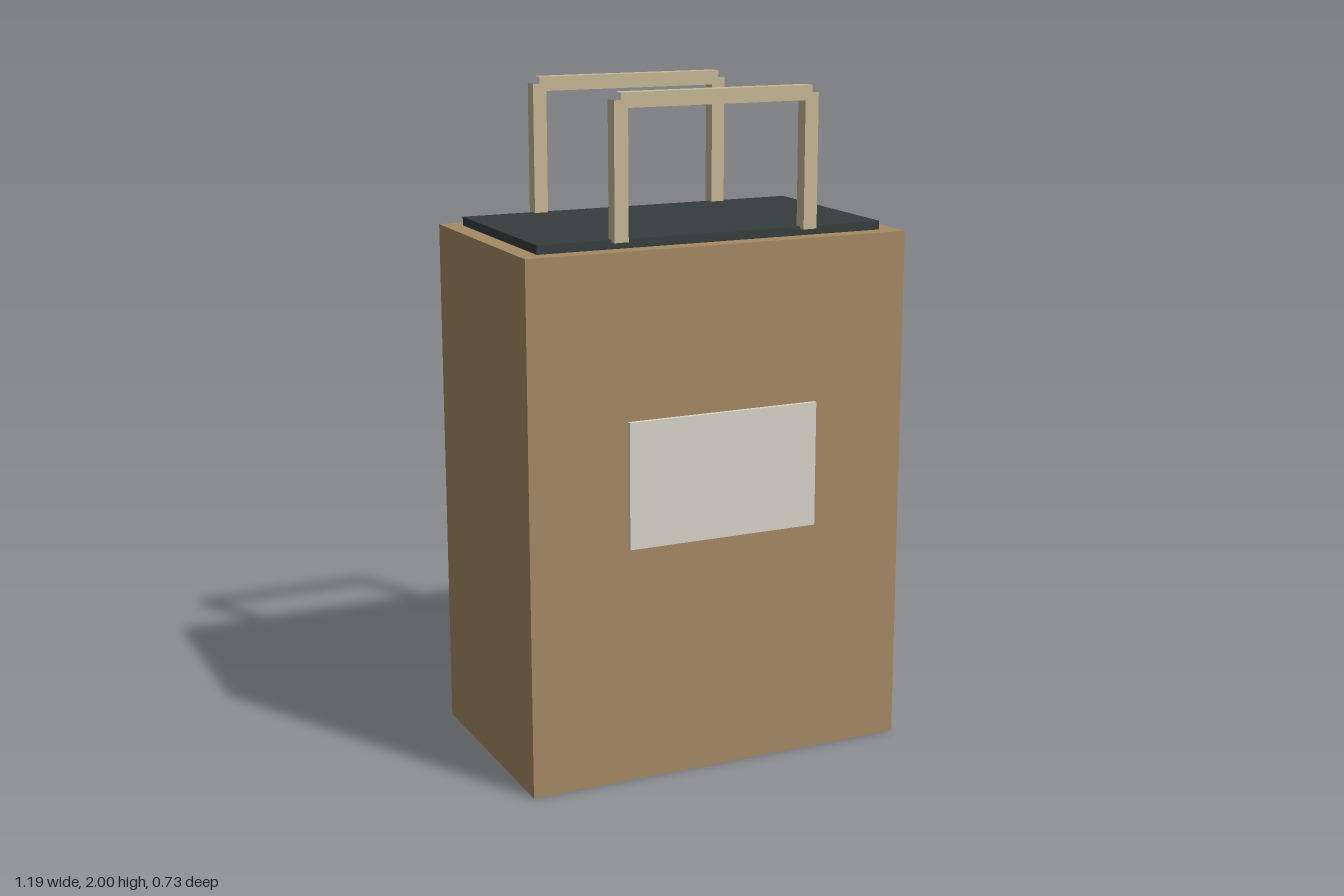
import * as THREE from 'three';

const paper = new THREE.MeshStandardMaterial({ color: 0xa68a64 });
const dark = new THREE.MeshStandardMaterial({ color: 0x363d3d });
const cord = new THREE.MeshStandardMaterial({ color: 0xc8b896, flatShading: true });
const card = new THREE.MeshStandardMaterial({ color: 0xd8d5cc });

function box(name, material, size, position) {
  const mesh = new THREE.Mesh(new THREE.BoxGeometry(...size), material);
  mesh.name = name;
  mesh.position.set(...position);
  return mesh;
}

// Square, open-ended bar standing along y
function bar(name, length) {
  const geometry = new THREE.CylinderGeometry(0.03, 0.03, length, 4, 1, true);
  geometry.rotateY(Math.PI / 4);
  const mesh = new THREE.Mesh(geometry, cord);
  mesh.name = name;
  return mesh;
}

// Two posts joined by a crossbar
function handle(name, z) {
  const group = new THREE.Group();
  group.name = name;
  group.position.z = z;
  for (const side of [1, -1]) {
    const post = bar(side > 0 ? 'leftPost' : 'rightPost', 0.392);
    post.position.set(side * 0.297, 1.784, 0);
    group.add(post);
  }
  const grip = bar('grip', 0.594);
  grip.rotation.z = Math.PI / 2;
  grip.position.y = 1.979;
  group.add(grip);
  return group;
}

export function createModel() {
  const bag = new THREE.Group();
  bag.name = 'shoppingBag';
  bag.add(
    box('body', paper, [1.194, 1.568, 0.706], [0, 0.784, -0.012]),
    // Dark panel suggesting the bag's opening
    box('opening', dark, [1.082, 0.026, 0.598], [0, 1.581, -0.012]),
    // Card floating just off the front
    box('label', card, [0.597, 0.373, 0.014], [0, 0.899, 0.354]),
    handle('frontHandle', 0.288),
    handle('backHandle', -0.311)
  );
  return bag;
}
